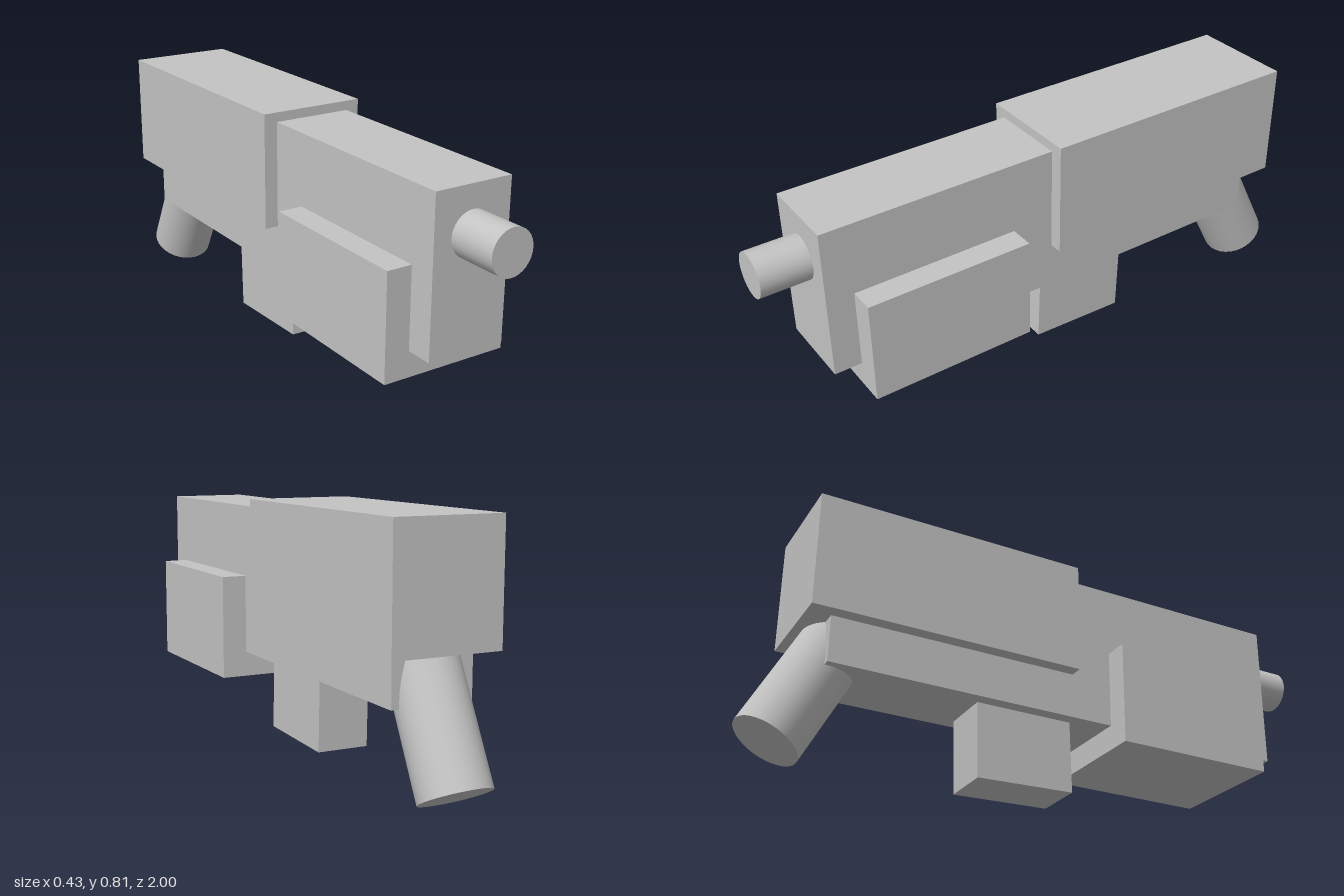
import * as THREE from 'three';

const lightGrey = new THREE.MeshStandardMaterial({ color: 0xc4c4c4 });
lightGrey.name = 'lightGrey';

export function createModel() {
  const model = new THREE.Group();
  model.name = 'blaster';

  const add = (name, geometry, y, z, tilt = 0) => {
    const mesh = new THREE.Mesh(geometry, lightGrey);
    mesh.name = name;
    mesh.position.set(0, y, z);
    mesh.rotation.x = tilt;
    model.add(mesh);
    return mesh;
  };

  // Box given by its width and its y and z ranges
  const addBox = (name, width, y0, y1, z0, z1) =>
    add(name, new THREE.BoxGeometry(width, y1 - y0, z1 - z0), (y0 + y1) / 2, (z0 + z1) / 2);

  // Main blocks
  addBox('body', 0.264, 0.28, 0.781, -0.782, 0.838);
  addBox('rearCover', 0.355, 0.432, 0.812, -0.857, 0.047);
  addBox('foregrip', 0.431, 0.196, 0.543, 0.19, 0.748);

  // Barrel, running back into the body
  const barrel = new THREE.CylinderGeometry(0.072, 0.072, 0.3, 32).rotateX(Math.PI / 2);
  add('barrel', barrel, 0.635, 0.85);

  // Slightly tilted magazine; its origin is the centre of the bottom face
  const magazine = new THREE.BoxGeometry(0.174, 0.34, 0.333).translate(0, 0.17, 0);
  add('magazine', magazine, 0.035, -0.1, -0.03);

  // Slanted round handle; its origin is the centre of the bottom face
  const handle = new THREE.CylinderGeometry(0.108, 0.108, 0.5, 32).translate(0, 0.25, 0);
  add('handle', handle, 0.051, -0.904, 0.482);

  return model;
}
